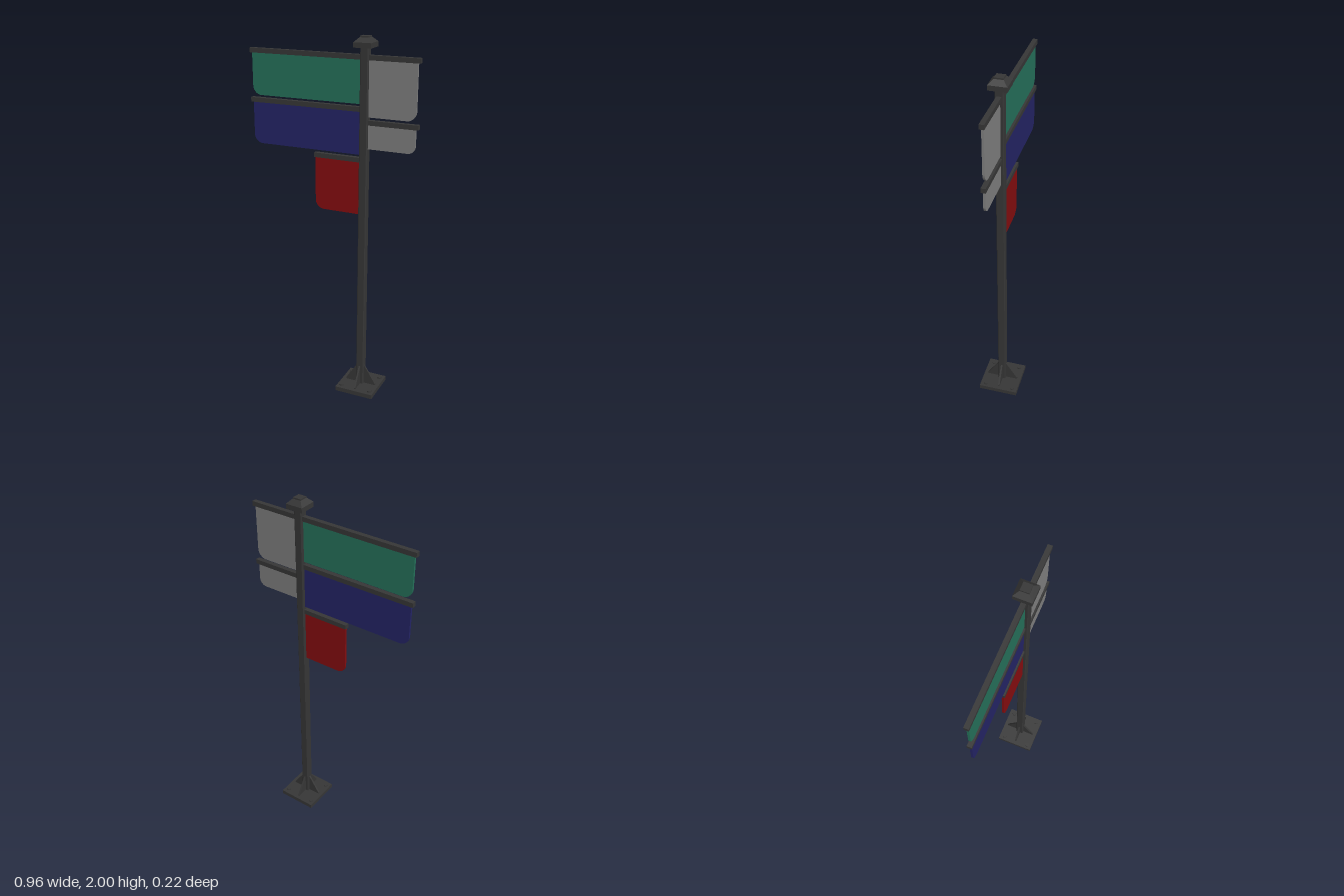
import * as THREE from 'three';

const POST_X = 0.185;
const HALF = 0.022;

const material = (name, color) => new THREE.MeshStandardMaterial({ name, color });

export function createModel() {
  const model = new THREE.Group();
  model.name = 'signpost';

  const metal = material('dark metal', 0x363636);
  const green = material('green', 0x25705a);
  const blue = material('navy blue', 0x242465);
  const red = material('deep red', 0x840d0f);
  const grey = material('grey', 0x7e7e7e);

  const add = (name, geometry, mat, x = 0, y = 0, z = 0, parent = model) => {
    const mesh = new THREE.Mesh(geometry, mat);
    mesh.name = name;
    mesh.position.set(x, y, z);
    parent.add(mesh);
    return mesh;
  };
  const box = (name, w, h, d, x, y, z, parent) =>
    add(name, new THREE.BoxGeometry(w, h, d), metal, x, y, z, parent);

  // Post, foot and cap share one vertical axis
  const stand = new THREE.Group();
  stand.name = 'stand';
  stand.position.x = POST_X;
  model.add(stand);

  // Square post with narrow chamfered corners
  const c = HALF - 0.004;
  const section = new THREE.Shape([
    [HALF, -c], [HALF, c], [c, HALF], [-c, HALF],
    [-HALF, c], [-HALF, -c], [-c, -HALF], [c, -HALF],
  ].map(([x, y]) => new THREE.Vector2(x, y)));
  const postGeo = new THREE.ExtrudeGeometry(section, { depth: 1.93, bevelEnabled: false });
  postGeo.rotateX(-Math.PI / 2);
  add('post', postGeo, metal, 0, 0.02, 0, stand);

  // Base plate with anchor bolts
  box('basePlate', 0.224, 0.025, 0.224, 0, 0.0125, 0, stand);
  const boltGeo = new THREE.CylinderGeometry(0.012, 0.012, 0.008, 16);
  for (const sx of [-1, 1]) for (const sz of [-1, 1]) {
    add('anchorBolt', boltGeo, metal, sx * 0.086, 0.028, sz * 0.08, stand);
  }

  // Triangular gussets on all four sides
  const gusset = new THREE.Shape([
    [0.015, 0.02], [0.09, 0.02], [0.09, 0.032], [0.022, 0.138], [0.015, 0.138],
  ].map(([x, y]) => new THREE.Vector2(x, y)));
  const gussetGeo = new THREE.ExtrudeGeometry(gusset, { depth: 0.01, bevelEnabled: false });
  gussetGeo.translate(0, 0, -0.005);
  for (let i = 0; i < 4; i++) {
    add('gusset', gussetGeo, metal, 0, 0, 0, stand).rotation.y = i * Math.PI / 2;
  }

  // Stepped pyramid cap
  box('capRim', 0.096, 0.026, 0.096, 0, 1.957, 0, stand);
  const slope = new THREE.CylinderGeometry(0.024 * Math.SQRT2, 0.048 * Math.SQRT2, 0.023, 4, 1).toNonIndexed();
  slope.rotateY(Math.PI / 4);
  slope.computeVertexNormals();
  add('capSlope', slope, metal, 0, 1.9815, 0, stand);
  box('capTop', 0.046, 0.008, 0.046, 0, 1.996, 0, stand);

  // Rails: [outer x, top y]; the highest one spans both sides
  const rail = (x0, x1, top) =>
    box('rail', x1 - x0, 0.025, 0.025, (x0 + x1) / 2, top - 0.0125, 0);
  rail(-0.478, 0.478, 1.907);
  rail(-0.478, POST_X, 1.643);
  rail(-0.1, POST_X, 1.375);
  rail(POST_X, 0.478, 1.577);

  // Hanging panel, rounded at its outer lower corner
  const panel = (name, mat, outer, bottom, top, r = 0.05) => {
    const side = Math.sign(outer - POST_X);
    const w = Math.abs(outer - POST_X);
    const s = new THREE.Shape();
    s.moveTo(0, bottom);
    s.lineTo(w - r, bottom);
    s.absarc(w - r, bottom + r, r, -Math.PI / 2, 0, false);
    s.lineTo(w, top);
    s.lineTo(0, top);
    const geo = new THREE.ExtrudeGeometry(s, { depth: 0.012, bevelEnabled: false, curveSegments: 10 });
    geo.translate(0, 0, -0.006);
    if (side < 0) geo.rotateY(Math.PI);
    add(name, geo, mat, POST_X);
  };
  panel('greenPanel', green, -0.466, 1.657, 1.89);
  panel('bluePanel', blue, -0.466, 1.39, 1.625);
  panel('redPanel', red, -0.095, 1.06, 1.357);
  panel('upperGreyPanel', grey, 0.464, 1.592, 1.89);
  panel('lowerGreyPanel', grey, 0.464, 1.425, 1.56, 0.04);

  return model;
}
